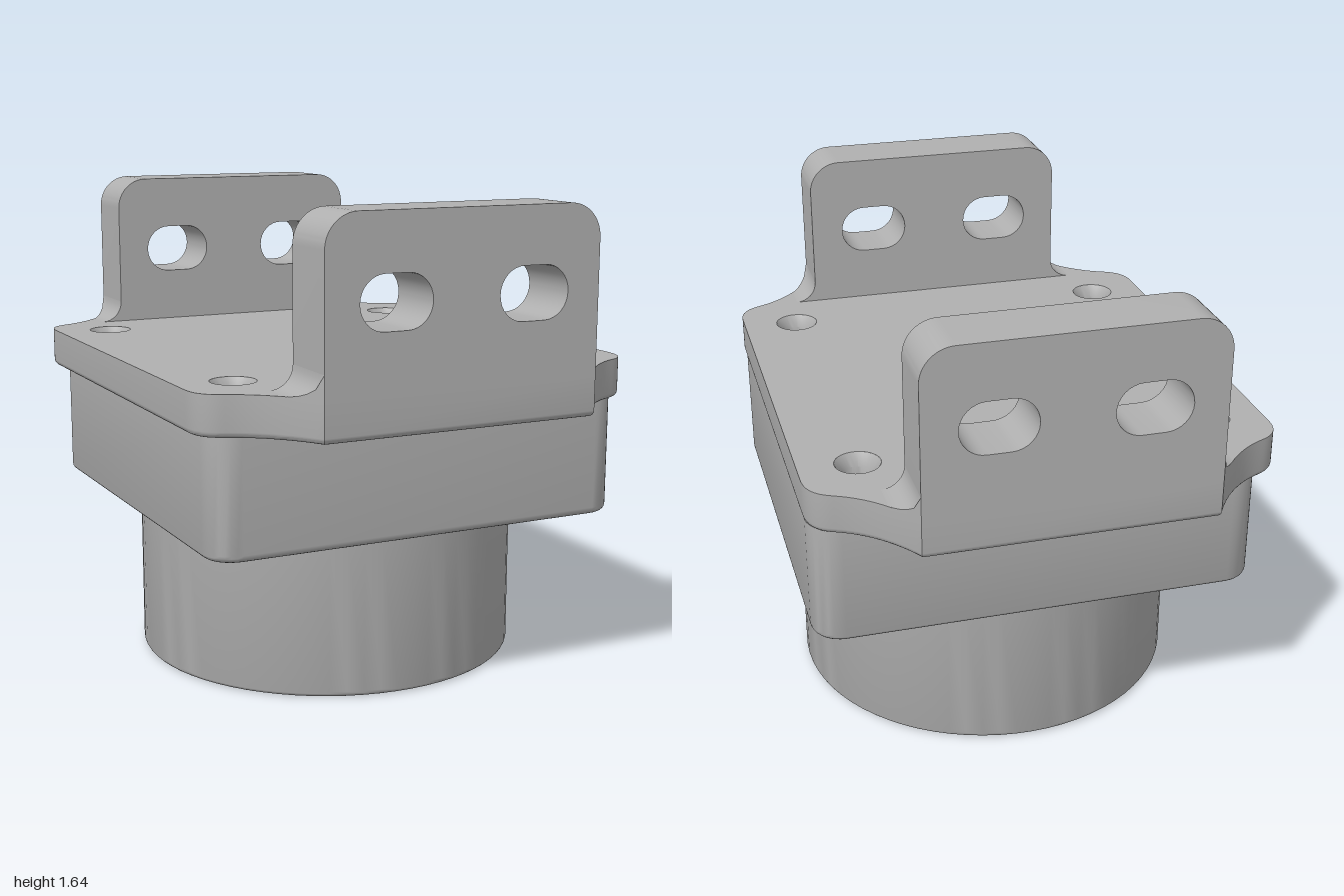
import * as THREE from 'three';
import { mergeGeometries, toCreasedNormals } from 'three/addons/utils/BufferGeometryUtils.js';

const V2 = (x, y) => new THREE.Vector2(x, y);
const CREASE = 0.6;
const PLATE_Y = 0.965, TOP_Y = 1.1;
const BRACKET_X = 0.478, BRACKET_Z = 0.785, FILLET = 0.075;

// Concave shoulder of the plate, from the corner lobe to the bracket
const shoulder = new THREE.QuadraticBezierCurve(V2(0.7, 0.785), V2(0.57, 0.84), V2(BRACKET_X, 1));
const lobe = new THREE.CubicBezierCurve(V2(0.78, 0.66), V2(0.78, 0.73), V2(0.75, 0.765), V2(0.7, 0.785));

function plateOutline() {
  const q = [...lobe.getPoints(10), ...shoulder.getPoints(12).slice(1)];
  const flip = (sx, sy) => q.map((p) => V2(p.x * sx, p.y * sy));
  return [...q, ...flip(-1, 1).reverse(), ...flip(-1, -1), ...flip(1, -1).reverse()];
}

function roundedRect(cx, cy, w, d, r, steps = 8) {
  const pts = [];
  [[1, 1], [-1, 1], [-1, -1], [1, -1]].forEach(([sx, sy], c) => {
    for (let i = 0; i <= steps; i++) {
      const a = (c + i / steps) * Math.PI / 2;
      pts.push(V2(cx + sx * (w / 2 - r) + r * Math.cos(a), cy + sy * (d / 2 - r) + r * Math.sin(a)));
    }
  });
  return pts;
}

// Move a counterclockwise outline inwards
function inset(pts, d) {
  const n = pts.length;
  return pts.map((p, i) => {
    const e1 = p.clone().sub(pts[(i + n - 1) % n]).normalize();
    const e2 = pts[(i + 1) % n].clone().sub(p).normalize();
    const m = V2(-e1.y - e2.y, e1.x + e2.x);
    return p.clone().addScaledVector(m, d / (1 + e1.dot(e2)));
  });
}

// Upright slab with a rounded lower edge and a sharp top edge
function slab(outline, y0, y1, r, holes = []) {
  const rings = [];
  for (let i = 0; i <= 5; i++) {
    const a = i / 5 * Math.PI / 2;
    rings.push({ pts: inset(outline, r * (1 - Math.sin(a))), y: y0 + r * (1 - Math.cos(a)) });
  }
  rings.push({ pts: outline, y: y1 });

  const pos = [], idx = [], n = outline.length;
  rings.forEach((ring, i) => ring.pts.forEach((p, j) => {
    pos.push(p.x, p.y, ring.y);
    if (i === 0) return;
    const k = (j + 1) % n, a = (i - 1) * n, b = i * n;
    idx.push(a + j, a + k, b + k, a + j, b + k, b + j);
  }));
  const side = new THREE.BufferGeometry();
  side.setAttribute('position', new THREE.Float32BufferAttribute(pos, 3));
  side.setIndex(idx);

  const topShape = new THREE.Shape(outline);
  topShape.holes = holes.map(([x, y, rad]) => new THREE.Path().absarc(x, y, rad, 0, Math.PI * 2, true));
  const top = new THREE.ShapeGeometry(topShape, 32).translate(0, 0, y1);
  const bottom = new THREE.ShapeGeometry(new THREE.Shape(rings[0].pts)).translate(0, 0, y0);
  bottom.index.array.reverse();

  const parts = [side, top, bottom].map((g) => {
    const flat = g.toNonIndexed();
    flat.deleteAttribute('uv');
    flat.deleteAttribute('normal');
    return flat;
  });
  return toCreasedNormals(mergeGeometries(parts).rotateX(-Math.PI / 2), CREASE);
}

// Upright mounting bracket with rounded top corners and two slots
function bracketGeometry() {
  const w = BRACKET_X, h = 1.645, r = 0.11;
  const s = new THREE.Shape();
  s.moveTo(-w, TOP_Y).lineTo(w, TOP_Y).lineTo(w, h - r);
  s.absarc(w - r, h - r, r, 0, Math.PI / 2, false);
  s.lineTo(-w + r, h);
  s.absarc(-w + r, h - r, r, Math.PI / 2, Math.PI, false);
  s.closePath();
  for (const x of [-0.24, 0.24]) {
    s.holes.push(new THREE.Path(roundedRect(x, 1.374, 0.246, 0.172, 0.085).reverse()));
  }
  const g = new THREE.ExtrudeGeometry(s, { depth: 1 - BRACKET_Z, bevelEnabled: false, curveSegments: 10 });
  return toCreasedNormals(g, CREASE);
}

// Hollow fillet between bracket side and plate, trimmed by the shoulder curve
function filletGeometry(sx, sz) {
  const pos = [], idx = [], K = 8;
  const sections = shoulder.getPoints(12);
  const add = (x, y, z) => pos.push(x * sx, y, z * sz);
  const tri = (a, b, c) => (sx * sz > 0 ? idx.push(a, b, c) : idx.push(a, c, b));
  sections.forEach((p, i) => {
    for (let k = 0; k <= K; k++) {
      const u = FILLET * (1 - Math.cos(k / K * Math.PI / 2));
      const x = Math.min(BRACKET_X + u, p.x), d = x - BRACKET_X - FILLET;
      add(x, TOP_Y + FILLET - Math.sqrt(Math.max(0, FILLET * FILLET - d * d)), p.y);
    }
    add(Math.min(BRACKET_X + FILLET, p.x), TOP_Y, p.y);
    if (i === 0) return;
    const a = (i - 1) * (K + 2), b = i * (K + 2);
    for (let k = 0; k <= K; k++) {
      tri(a + k, b + k, a + k + 1);
      tri(a + k + 1, b + k, b + k + 1);
    }
  });
  // Inner end face
  const o = pos.length / 3;
  add(BRACKET_X, TOP_Y, sections[0].y);
  for (let k = 0; k < K; k++) tri(o, k, k + 1);
  const g = new THREE.BufferGeometry();
  g.setAttribute('position', new THREE.Float32BufferAttribute(pos, 3));
  g.setIndex(idx);
  return toCreasedNormals(g, CREASE);
}

// Round base with a rounded foot and a small flare under the housing
function baseGeometry() {
  const R = 0.671, r = 0.02, h = 0.555, p = [V2(0, 0)];
  for (let i = 0; i <= 5; i++) {
    const a = i / 5 * Math.PI / 2;
    p.push(V2(R - r + r * Math.sin(a), r - r * Math.cos(a)));
  }
  for (let i = 0; i <= 5; i++) {
    const a = i / 5 * Math.PI / 2;
    p.push(V2(R + r - r * Math.cos(a), h - r + r * Math.sin(a)));
  }
  return toCreasedNormals(new THREE.LatheGeometry(p, 72), CREASE);
}

export function createModel() {
  const model = new THREE.Group();
  model.name = 'mountedHousing';
  const grey = new THREE.MeshStandardMaterial({ color: 0xb0b0b0 });
  grey.name = 'plainGrey';
  const add = (name, geometry, x = 0, y = 0, z = 0) => {
    const mesh = new THREE.Mesh(geometry, grey);
    mesh.name = name;
    mesh.position.set(x, y, z);
    model.add(mesh);
    return mesh;
  };

  add('roundBase', baseGeometry(), 0.025, 0, 0.0125 * -1);
  add('housing', slab(roundedRect(0.025, 0.0125, 1.5, 1.505, 0.1), 0.555, PLATE_Y, 0.025));

  // Plate with four countersunk holes
  const holes = [];
  for (const x of [-0.59, 0.587]) for (const y of [-0.587, 0.592]) holes.push([x, y, 0.075]);
  add('mountingPlate', slab(plateOutline(), PLATE_Y, TOP_Y, 0.02, holes));
  const sink = toCreasedNormals(new THREE.LatheGeometry(
    [V2(0.075, TOP_Y), V2(0.05, 1.06), V2(0.05, 0.99), V2(0, 0.99)], 32), CREASE);
  holes.forEach(([x, y]) => add('countersunkHole', sink, x, 0, -y));

  const bracket = bracketGeometry();
  add('frontBracket', bracket, 0, 0, BRACKET_Z);
  add('backBracket', bracket, 0, 0, -1);
  for (const sx of [-1, 1]) for (const sz of [-1, 1]) add('bracketFillet', filletGeometry(sx, sz));

  return model;
}
